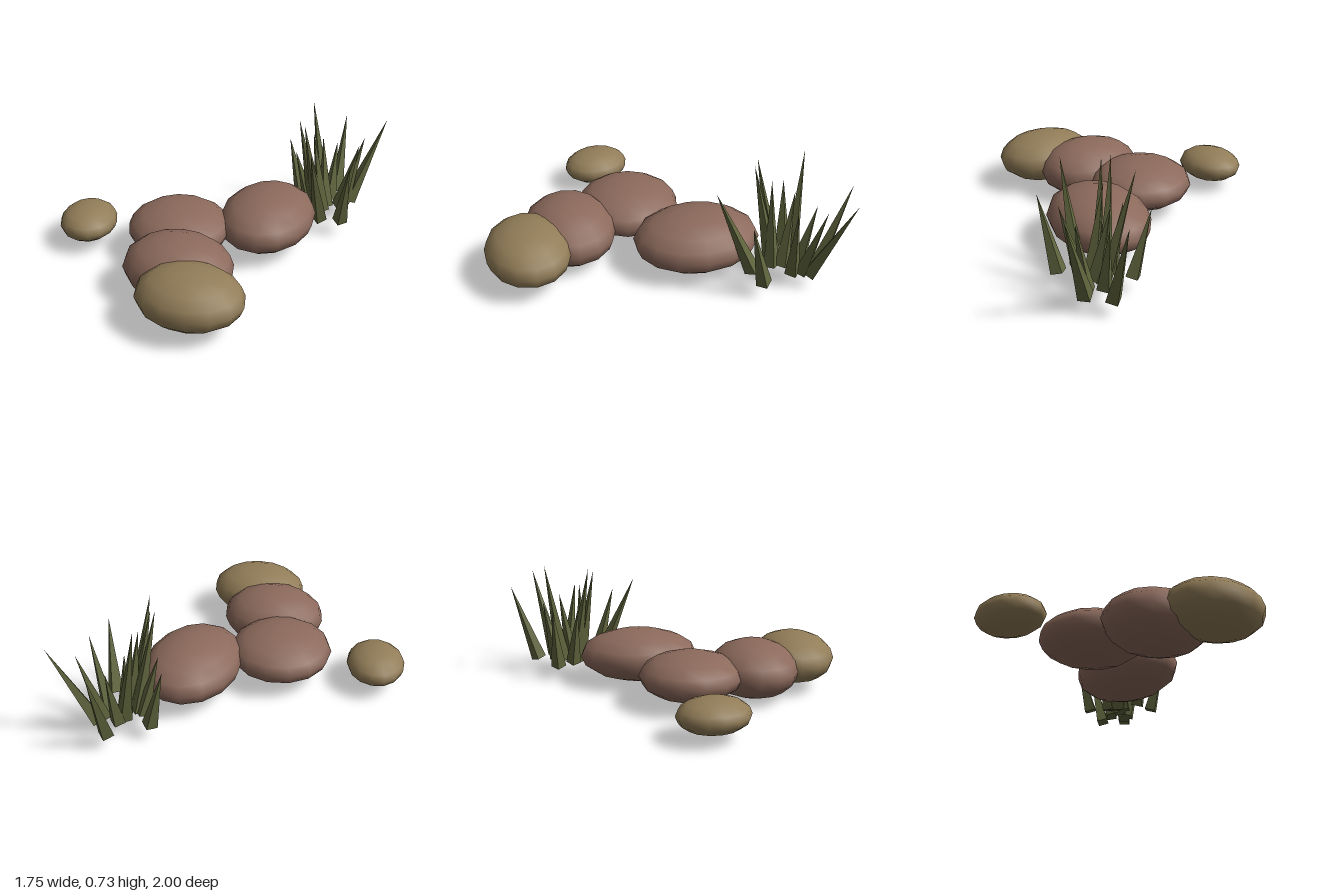
import * as THREE from 'three';

export function createModel() {
  const model = new THREE.Group();
  const material = (name, color, flatShading = false) => {
    const m = new THREE.MeshStandardMaterial({ color, flatShading });
    m.name = name;
    return m;
  };
  const brown = material('brown stone', 0x8c6a5c);
  const tan = material('tan stone', 0x927d58);
  const green = material('grass green', 0x62673f, true);

  // Stones: squashed low-poly spheres [name, material, centre, radii, turn]
  const stoneGeometry = new THREE.SphereGeometry(1, 14, 8);
  const stones = [
    ['smallStone', tan, [-0.703, 0.147, 0.165], [0.172, 0.098, 0.207], 0.25],
    ['middleStone', brown, [-0.135, 0.182, 0.095], [0.305, 0.138, 0.305], 0.2],
    ['frontStone', brown, [0.015, 0.175, 0.485], [0.317, 0.17, 0.272], 0],
    ['tanStone', tan, [0.19, 0.193, 0.755], [0.302, 0.152, 0.247], 0],
    ['backStone', brown, [0.32, 0.186, -0.193], [0.28, 0.16, 0.365], -0.06],
  ];
  for (const [name, mat, centre, radii, turn] of stones) {
    const stone = new THREE.Mesh(stoneGeometry, mat);
    stone.name = name;
    stone.position.set(...centre);
    stone.scale.set(...radii);
    stone.rotation.y = turn;
    model.add(stone);
  }

  // Grass tuft: four-sided spikes [base x, base z, tip x, tip y, tip z]
  const tuft = new THREE.Group();
  tuft.name = 'grassTuft';
  const blades = [
    [0.585, -0.44, 0.56, 0.62, -0.215],
    [0.71, -0.46, 0.765, 0.51, -0.35],
    [0.54, -0.57, 0.45, 0.69, -0.47],
    [0.51, -0.6, 0.41, 0.71, -0.5],
    [0.7, -0.74, 0.875, 0.62, -0.885],
    [0.597, -0.84, 0.597, 0.565, -1.0],
    [0.4, -0.7, 0.3, 0.47, -0.72],
    [0.56, -0.68, 0.425, 0.73, -0.77],
    [0.66, -0.65, 0.765, 0.55, -0.6],
    [0.57, -0.56, 0.49, 0.6, -0.56],
    [0.48, -0.61, 0.38, 0.46, -0.57],
    [0.67, -0.7, 0.765, 0.53, -0.775],
    [0.58, -0.72, 0.59, 0.46, -0.8],
    [0.58, -0.62, 0.52, 0.53, -0.69],
  ];
  const up = new THREE.Vector3(0, 1, 0);
  for (const [bx, bz, tx, ty, tz] of blades) {
    const base = new THREE.Vector3(bx, 0.09, bz);
    const axis = new THREE.Vector3(tx, ty, tz).sub(base);
    const length = axis.length();
    const blade = new THREE.Mesh(
      new THREE.ConeGeometry(0.047, length, 4).translate(0, length / 2, 0), green);
    blade.name = 'grassBlade';
    blade.position.copy(base);
    blade.quaternion.setFromUnitVectors(up, axis.normalize());
    tuft.add(blade);
  }
  model.add(tuft);
  return model;
}
